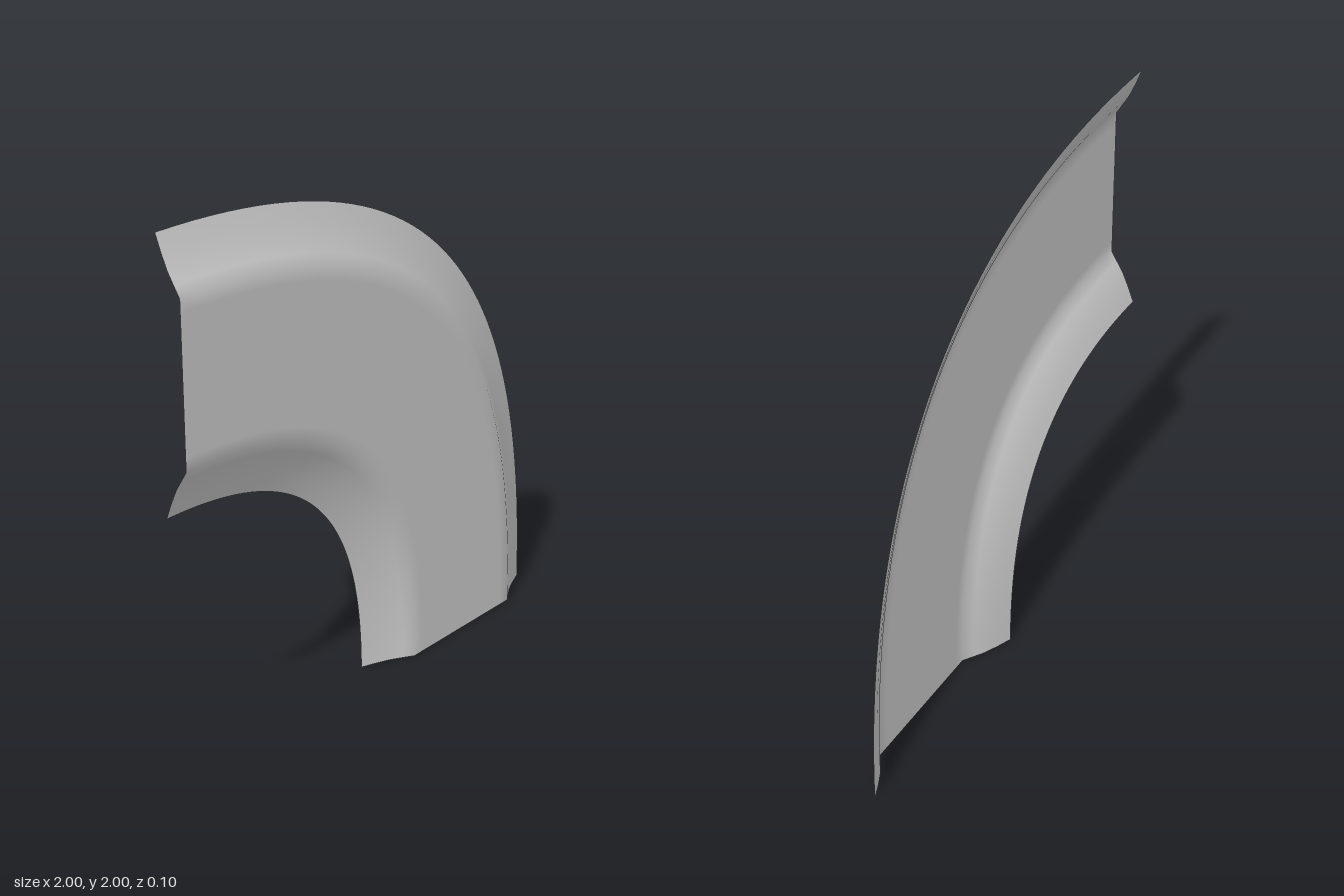
import * as THREE from 'three';

// Cross-section of the channel: [radius, z], from inner lip to outer lip
const PROFILE = [
  [1.0, -0.05], [1.06, -0.027], [1.12, 0.0], [1.16, 0.025], [1.2, 0.05], [1.25, 0.05], [1.5, 0.05],
  [1.75, 0.05], [1.8, 0.05], [1.84, 0.025], [1.88, 0.0], [1.94, -0.027], [2.0, -0.05],
];
const STEPS = 48;

export function createModel() {
  const group = new THREE.Group();
  group.name = 'curvedChannel';

  // Unit quarter bend, fuller than a circle; scaled by each profile radius
  const bend = new THREE.CubicBezierCurve(
    new THREE.Vector2(0, 1), new THREE.Vector2(0.69, 1),
    new THREE.Vector2(1, 0.69), new THREE.Vector2(1, 0));

  const positions = [];
  const indices = [];
  const n = PROFILE.length;
  for (let i = 0; i <= STEPS; i++) {
    const p = bend.getPoint(i / STEPS);
    for (const [r, z] of PROFILE) positions.push(p.x * r - 1, p.y * r, z);
  }
  // Quads wound to face the front
  for (let i = 0; i < STEPS; i++) {
    for (let j = 0; j < n - 1; j++) {
      const a = i * n + j;
      const b = a + n;
      indices.push(a, b, a + 1, b, b + 1, a + 1);
    }
  }

  const geometry = new THREE.BufferGeometry();
  geometry.setAttribute('position', new THREE.Float32BufferAttribute(positions, 3));
  geometry.setIndex(indices);
  geometry.computeVertexNormals();

  // Thin open sheet with flared lips
  const sheet = new THREE.Mesh(geometry, new THREE.MeshStandardMaterial({
    color: 0xcccccc, side: THREE.DoubleSide,
  }));
  sheet.name = 'bentChannelSheet';
  group.add(sheet);
  return group;
}
